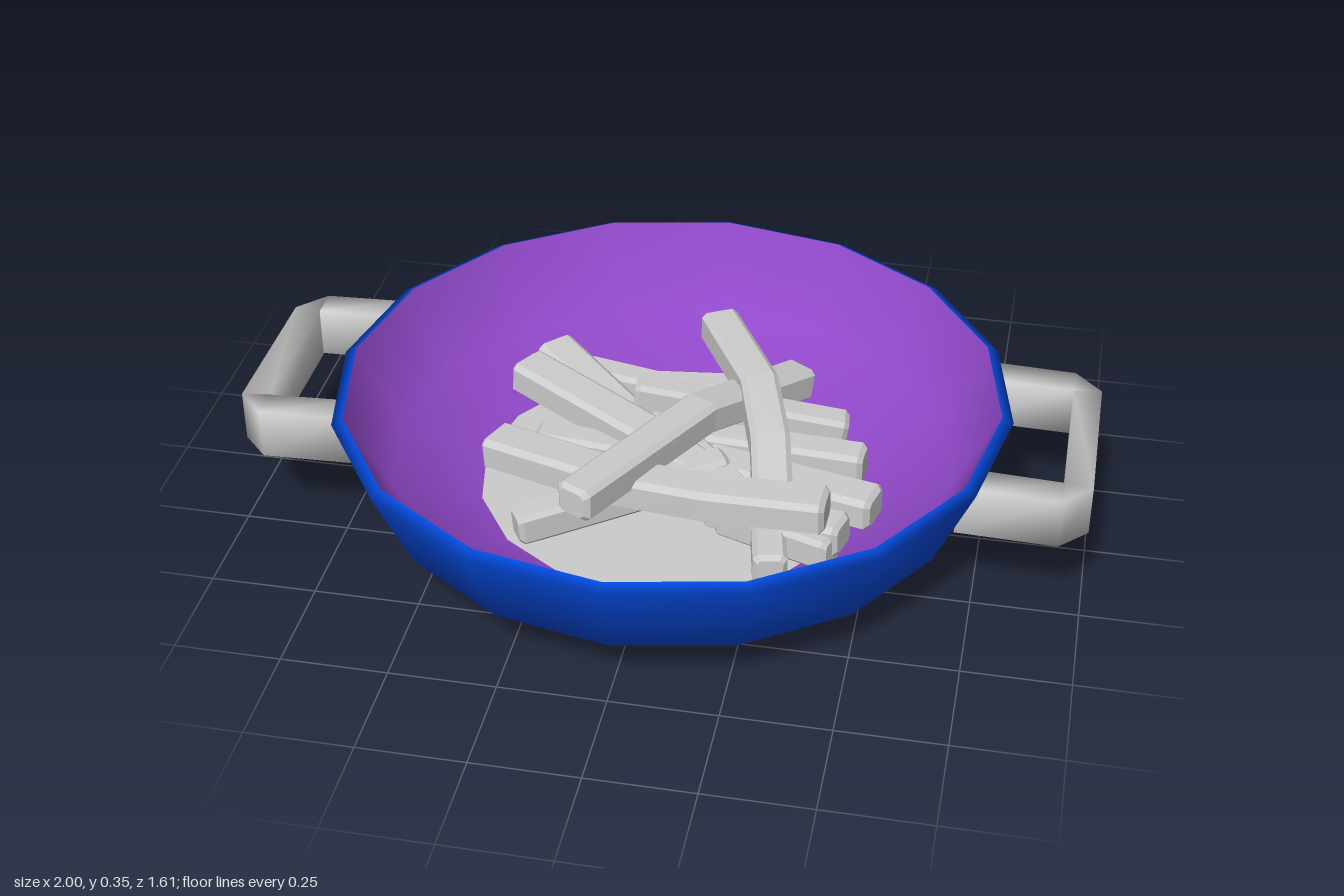
import * as THREE from 'three';

const V = (x, y, z) => new THREE.Vector3(x, y, z);
const UP = V(0, 1, 0);

// Closed skin over a list of rings with equal point counts, capped at both ends
function loft(rings) {
  const n = rings[0].length, pos = [], idx = [];
  rings.forEach(r => r.forEach(p => pos.push(p.x, p.y, p.z)));
  for (let i = 0; i < rings.length - 1; i++) {
    for (let j = 0; j < n; j++) {
      const a = i * n + j, b = i * n + (j + 1) % n;
      idx.push(a, b, a + n, b, b + n, a + n);
    }
  }
  const last = (rings.length - 1) * n;
  for (let j = 1; j < n - 1; j++) {
    idx.push(0, j + 1, j, last, last + j, last + j + 1);
  }
  const g = new THREE.BufferGeometry();
  g.setAttribute('position', new THREE.Float32BufferAttribute(pos, 3));
  g.setIndex(idx);
  g.computeVertexNormals();
  return g;
}

// Straight or bent stick with chamfered edges and bevelled ends
function stickGeometry(w, points) {
  const c = 0.72, h = 0.041, bevel = 0.012;
  const section = [[1, -c], [1, c], [c, 1], [-c, 1], [-1, c], [-1, -c], [-c, -1], [c, -1]];
  const p = points.map(q => V(...q)), m = p.length - 1;
  const dirA = p[1].clone().sub(p[0]).normalize();
  const dirB = p[m].clone().sub(p[m - 1]).normalize();
  const stations = [
    [p[0], dirA, 0.75],
    [p[0].clone().addScaledVector(dirA, bevel), dirA, 1],
    ...p.slice(1, m).map((q, i) => [q, p[i + 2].clone().sub(p[i]).normalize(), 1]),
    [p[m].clone().addScaledVector(dirB, -bevel), dirB, 1],
    [p[m], dirB, 0.75],
  ];
  return loft(stations.map(([q, dir, s]) => {
    const side = UP.clone().cross(dir).normalize();
    const up = dir.clone().cross(side);
    return section.map(([a, b]) => q.clone().addScaledVector(side, a * w * s).addScaledVector(up, b * h * s));
  }));
}

// Square-section loop, smoothly shaded, ends slanted to meet the wall
function handleGeometry() {
  // outer x, outer z, inner x, inner z, centre height
  const half = [
    [0.72, 0.267, 0.72, 0.19, 0.27],
    [0.935, 0.267, 0.935, 0.192, 0.263],
    [1.0, 0.2, 0.934, 0.188, 0.262],
  ];
  const mirrored = half.slice().reverse().map(([a, b, c, d, y]) => [a, -b, c, -d, y]);
  const path = [...half, ...mirrored];
  const corners = [[1, -1], [1, 1], [0, 1], [0, -1]];
  return loft(path.map(([ox, oz, ix, iz, y], k) => {
    const slant = k === 0 || k === path.length - 1 ? 0.02 : 0;
    return corners.map(([t, s]) => V(ox + (ix - ox) * t + slant * s, y + 0.062 * s, oz + (iz - oz) * t));
  }));
}

export function createModel() {
  const model = new THREE.Group();
  model.name = 'bowlOfSticks';
  const blue = new THREE.MeshStandardMaterial({ color: 0x024ade });
  const purple = new THREE.MeshStandardMaterial({ color: 0x9048c8 });
  const grey = new THREE.MeshStandardMaterial({ color: 0xcccccc });
  const greyFlat = new THREE.MeshStandardMaterial({ color: 0xcccccc, flatShading: true });
  const add = (name, geometry, material, parent = model) => {
    const mesh = new THREE.Mesh(geometry, material);
    mesh.name = name;
    parent.add(mesh);
    return mesh;
  };
  const lathe = pts => new THREE.LatheGeometry(pts.map(([r, y]) => new THREE.Vector2(r, y)), 16);

  // Bowl: outer shell with its sloping rim, lining and floor
  add('outerShell', lathe([[0, 0], [0.5, 0], [0.71, 0.125], [0.805, 0.34], [0.778, 0.354]]), blue);
  add('lining', lathe([[0.778, 0.354], [0.675, 0.15], [0.46, 0.08]]), purple);
  const floor = new THREE.CircleGeometry(0.465, 16).rotateX(-Math.PI / 2);
  add('floor', floor, grey).position.y = 0.084;

  // Side handles
  const handle = handleGeometry();
  add('leftHandle', handle, grey);
  add('rightHandle', handle, grey).rotation.y = Math.PI;

  // Pile of sticks: half width, then a short path of centre points
  const sticks = [
    // top layer
    [0.047, [[0.03, 0.25, -0.45], [0.18, 0.245, -0.18], [0.24, 0.22, 0.02], [0.28, 0.17, 0.22]]],
    [0.047, [[0.26, 0.16, -0.37], [0.06, 0.24, -0.05], [-0.16, 0.25, 0.38]]],
    [0.055, [[-0.43, 0.16, 0.06], [-0.1, 0.185, 0.19], [0.13, 0.21, 0.245], [0.41, 0.22, 0.255]]],
    // middle layer
    [0.053, [[-0.42, 0.2, -0.22], [-0.05, 0.17, -0.01], [0.22, 0.13, 0.17]]],
    [0.05, [[-0.38, 0.18, -0.35], [-0.13, 0.14, -0.12]]],
    [0.038, [[-0.12, 0.22, -0.14], [0.4, 0.14, -0.19]]],
    [0.038, [[-0.1, 0.15, -0.2], [0.04, 0.15, -0.01], [0.22, 0.14, 0.18]]],
    [0.053, [[0.08, 0.14, 0.02], [0.51, 0.15, 0.13]]],
    // bottom layer
    [0.038, [[-0.29, 0.13, -0.33], [-0.1, 0.13, -0.29], [0.22, 0.13, -0.33]]],
    [0.043, [[0.0, 0.12, -0.11], [0.46, 0.13, -0.07]]],
    [0.038, [[-0.34, 0.13, -0.02], [0.1, 0.13, 0.02]]],
    [0.036, [[-0.31, 0.12, 0.32], [0.14, 0.16, 0.04]]],
    [0.04, [[0.25, 0.12, 0.12], [0.3, 0.12, 0.38]]],
    [0.048, [[0.12, 0.13, 0.16], [0.45, 0.15, 0.25]]],
    [0.038, [[0.15, 0.12, 0.18], [0.43, 0.13, 0.29]]],
  ];
  const pile = new THREE.Group();
  pile.name = 'stickPile';
  model.add(pile);
  sticks.forEach(([width, path], i) => add('stick' + (i + 1), stickGeometry(width, path), greyFlat, pile));

  return model;
}
